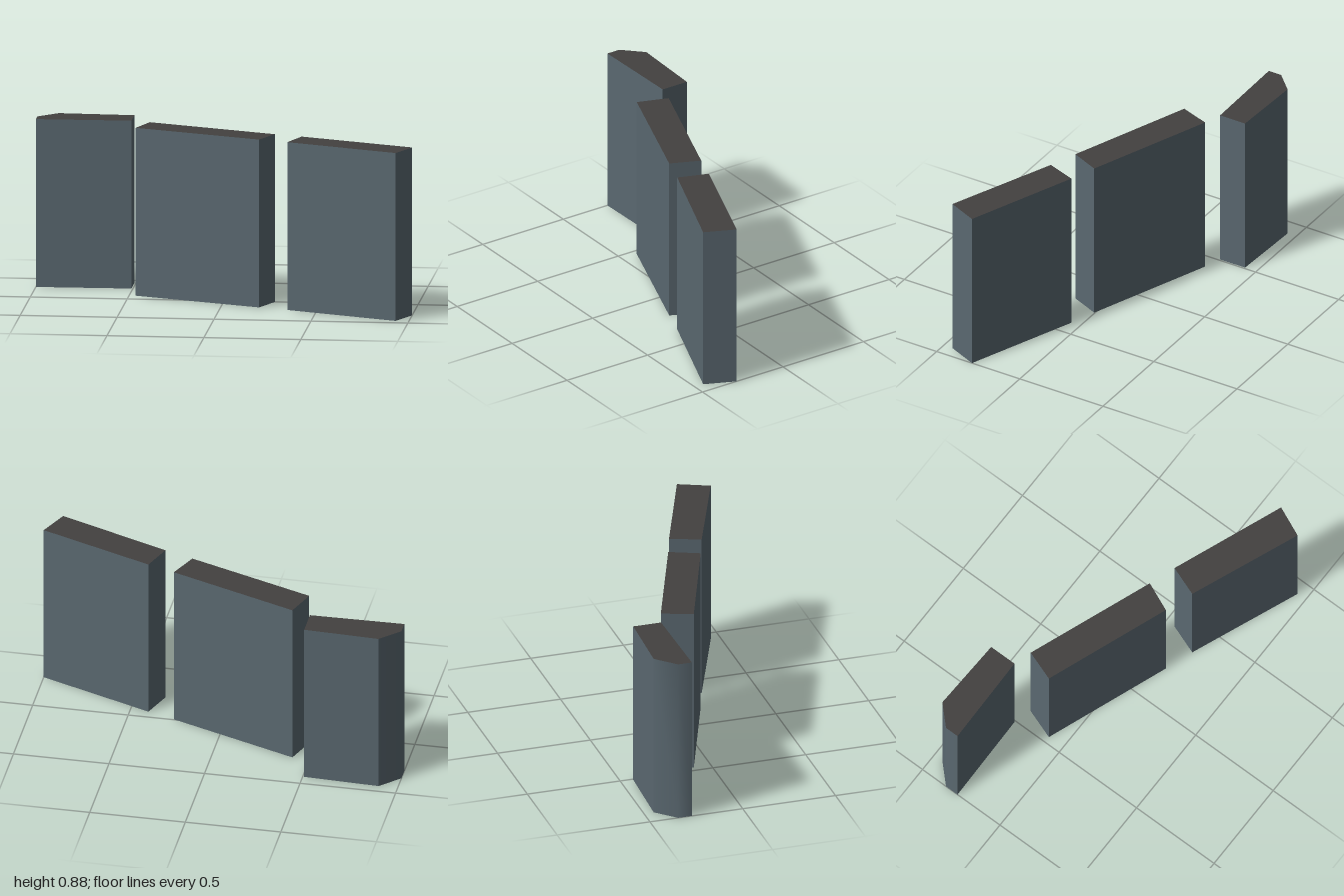
import * as THREE from 'three';
import { toCreasedNormals } from 'three/addons/utils/BufferGeometryUtils.js';

const HEIGHT = 0.877;

// Footprints as [x, z] corners
const FOOTPRINTS = {
  chamferedBlock: [[-1, -0.274], [-1, -0.348], [-0.9, -0.448], [-0.508, -0.432], [-0.508, -0.282]],
  middleBlock: [[-0.466, -0.092], [-0.41, -0.252], [0.262, 0.004], [0.196, 0.158]],
  endBlock: [[0.348, 0.212], [0.405, 0.054], [1, 0.288], [0.93, 0.448]],
};

export function createModel() {
  const slate = new THREE.MeshStandardMaterial({ color: 0x5a6870 });
  slate.name = 'slateWall';
  const roof = new THREE.MeshStandardMaterial({ color: 0x434140 });
  roof.name = 'darkRoof';

  const group = new THREE.Group();
  group.name = 'blocks';

  for (const [name, corners] of Object.entries(FOOTPRINTS)) {
    const shape = new THREE.Shape(corners.map(([x, z]) => new THREE.Vector2(x, -z)));
    let geometry = new THREE.ExtrudeGeometry(shape, { depth: HEIGHT, bevelEnabled: false });
    geometry.rotateX(-Math.PI / 2);
    // Smooth only the 45 degree corner of the chamfer
    geometry = toCreasedNormals(geometry, THREE.MathUtils.degToRad(46));

    // Underside and walls are slate, the roof cap is dark
    const capCount = (corners.length - 2) * 3;
    const total = geometry.attributes.position.count;
    geometry.clearGroups();
    geometry.addGroup(0, capCount, 0);
    geometry.addGroup(capCount, capCount, 1);
    geometry.addGroup(capCount * 2, total - capCount * 2, 0);

    const block = new THREE.Mesh(geometry, [slate, roof]);
    block.name = name;
    group.add(block);
  }
  return group;
}
